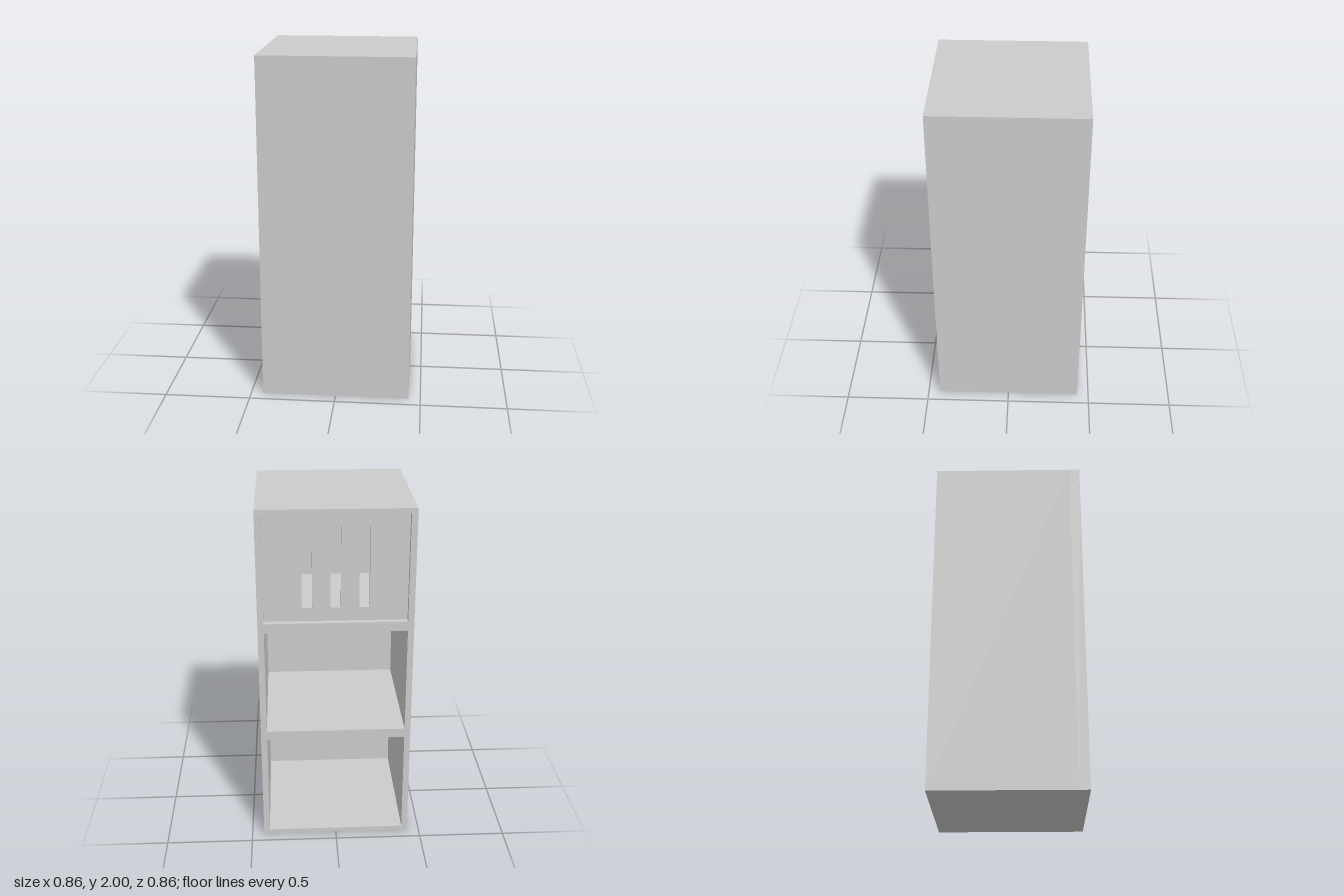
import * as THREE from 'three';

const W = 0.86, H = 2, D = 0.86;      // outer size
const SIDE = 0.034, EDGE = 0.027;     // wall thickness, half shelf thickness
const FRONT = 0.06;                   // front panel thickness
const BAY = H / 3;                    // height of one compartment

const material = new THREE.MeshStandardMaterial({ color: 0xcccccc });

function rect(Type, cx, cy, w, h) {
  const x = w / 2, y = h / 2;
  return new Type([[-x, -y], [x, -y], [x, y], [-x, y]]
    .map(([a, b]) => new THREE.Vector2(cx + a, cy + b)));
}

// Upright slab with rectangular holes, reaching from z0 towards the front
function slab(name, outline, holes, z0, depth) {
  outline.holes.push(...holes);
  const geometry = new THREE.ExtrudeGeometry(outline, { depth, bevelEnabled: false });
  const mesh = new THREE.Mesh(geometry, material);
  mesh.name = name;
  mesh.position.z = z0;
  return mesh;
}

export function createModel() {
  const cabinet = new THREE.Group();
  cabinet.name = 'cabinet';
  const bayW = W - 2 * SIDE, bayH = BAY - 2 * EDGE;

  // Side walls, top, bottom and shelves around three bays open at the back
  const bays = [0, 1, 2].map(i => rect(THREE.Path, 0, (i + 0.5) * BAY, bayW, bayH));
  cabinet.add(slab('carcass', rect(THREE.Shape, 0, H / 2, W, H), bays, -D / 2, D - FRONT));

  // Plain closed front
  cabinet.add(slab('frontPanel', rect(THREE.Shape, 0, H / 2, W, H), [], D / 2 - FRONT, FRONT));

  // Recessed panel with three vent slots closing the top bay
  const topY = 2.5 * BAY;
  const slots = [-1, 0, 1].map(i => rect(THREE.Path, i * 0.157, topY, 0.057, 0.46));
  cabinet.add(slab('ventPanel', rect(THREE.Shape, 0, topY, bayW, bayH), slots, -D / 2 + 0.036, 0.03));

  return cabinet;
}
